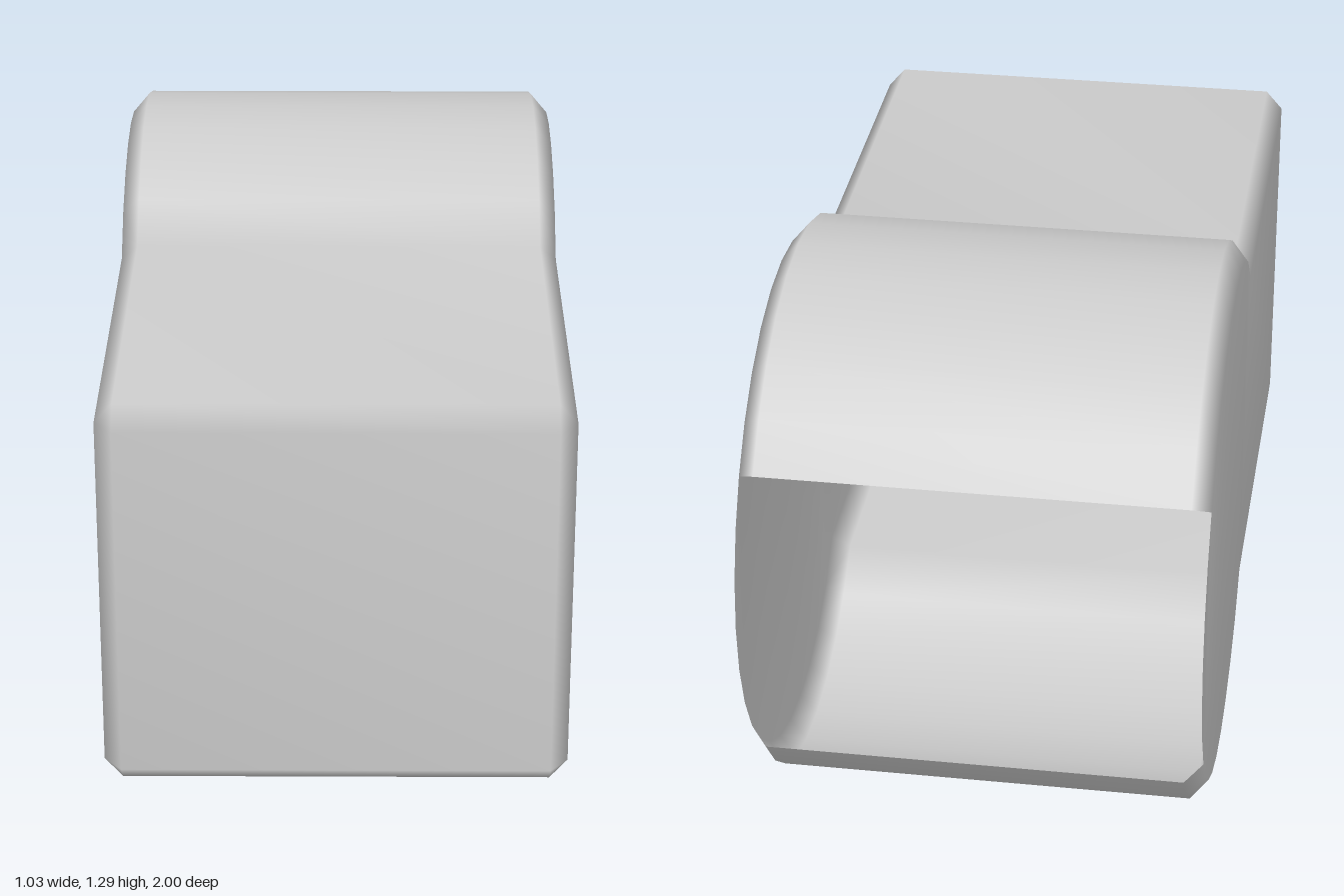
import * as THREE from 'three';
import { mergeVertices } from 'three/addons/utils/BufferGeometryUtils.js';

const MID_Y = 0.648;                    // height of the symmetry plane
const DRUM_Z = -0.4;                    // axis of the round rear drum
const X_OUTER = 0.475, X_SIDE = 0.515;  // bevel runs between these widths
const STEP = Math.PI / 16;              // 32-sided drum

// [z, height above the symmetry plane] on the drum
const drumPoint = (radius, i) => [DRUM_Z + radius * Math.cos(i * STEP), radius * Math.sin(i * STEP)];

// Smooth-shaded double-sided mesh from a list of quads
function quadMesh(name, quads, material) {
  const pos = [];
  for (const [a, b, c, d] of quads) for (const p of [a, b, c, a, c, d]) pos.push(...p);
  let geo = new THREE.BufferGeometry();
  geo.setAttribute('position', new THREE.Float32BufferAttribute(pos, 3));
  geo = mergeVertices(geo, 1e-4);
  geo.computeVertexNormals();
  const mesh = new THREE.Mesh(geo, material);
  mesh.name = name;
  return mesh;
}

export function createModel() {
  const group = new THREE.Group();
  group.name = 'hollowHousing';
  const material = new THREE.MeshStandardMaterial({ color: 0xcccccc, side: THREE.DoubleSide });

  // Upper half of the profile, rear opening to front edge
  const outer = [], inset = [];
  for (let i = 13; i >= 4; i--) {
    outer.push(drumPoint(0.647, i));
    inset.push(drumPoint(0.6, i));
  }
  inset[inset.length - 1] = [0.025, 0.412];
  outer.push([0.95, 0.457], [1, 0.411]);
  inset.push([0.95, 0.411], [0.95, 0.411]);

  const at = (x, [z, h], s = 1) => [x, MID_Y + s * h, z];
  const quads = [];

  // Top and bottom skins with bevels; the rear stays open
  for (let i = 0; i < outer.length - 1; i++) {
    const columns = [[-X_SIDE, inset], [-X_OUTER, outer], [X_OUTER, outer], [X_SIDE, inset]];
    for (let c = 0; c < 3; c++) {
      const [x0, p0] = columns[c], [x1, p1] = columns[c + 1];
      for (const s of [1, -1]) {
        const q = [at(x0, p0[i], s), at(x0, p0[i + 1], s), at(x1, p1[i + 1], s), at(x1, p1[i], s)];
        quads.push(s > 0 ? q : q.reverse());
      }
    }
  }

  // Front face and its side bevels
  const nose = outer[outer.length - 1], corner = inset[inset.length - 1];
  const frontColumns = [[-X_SIDE, corner], [-X_OUTER, nose], [X_OUTER, nose], [X_SIDE, corner]];
  for (let c = 0; c < 3; c++) {
    const [x0, p0] = frontColumns[c], [x1, p1] = frontColumns[c + 1];
    quads.push([at(x0, p0), at(x0, p0, -1), at(x1, p1, -1), at(x1, p1)]);
  }

  // Flat side panels, keeping the full disc at the rear
  const panel = [];
  for (let i = 16; i > 13; i--) panel.push(drumPoint(0.6, i));
  panel.push(...inset.slice(0, -1));
  for (const side of [1, -1]) {
    const x = side * X_SIDE;
    for (let i = 0; i < panel.length - 1; i++) {
      const q = [at(x, panel[i], -1), at(x, panel[i]), at(x, panel[i + 1]), at(x, panel[i + 1], -1)];
      quads.push(side > 0 ? q : q.reverse());
    }
  }

  group.add(quadMesh('housingShell', quads, material));
  return group;
}
